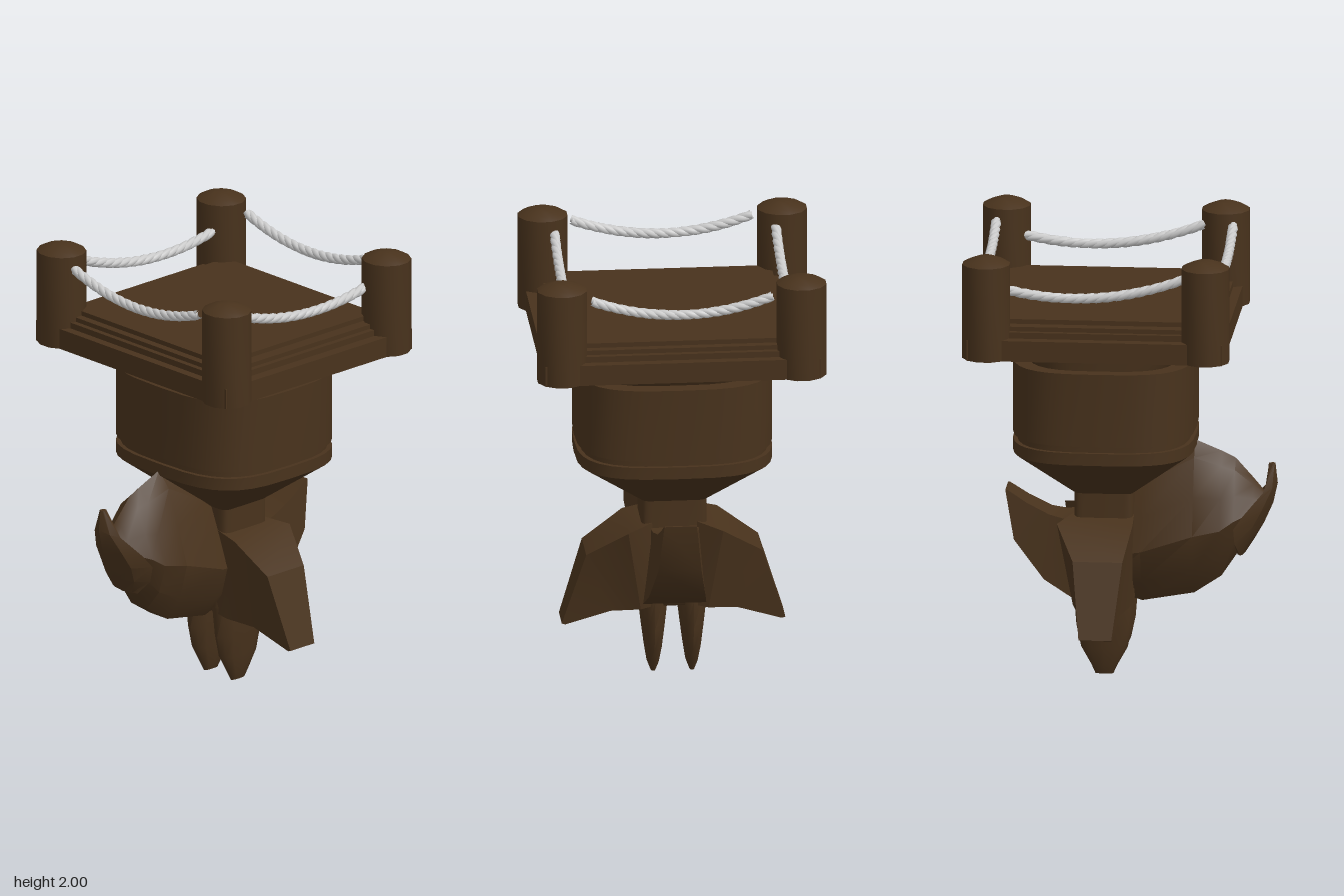
import * as THREE from 'three';
import { toCreasedNormals } from 'three/addons/utils/BufferGeometryUtils.js';

const CX = 0.085; // x of the tower axis
const brown = new THREE.MeshStandardMaterial({ color: 0x48321c, side: THREE.DoubleSide });
const grey = new THREE.MeshStandardMaterial({ color: 0xcccccc });

function add(parent, name, geometry, material = brown) {
  const mesh = new THREE.Mesh(geometry, material);
  mesh.name = name;
  parent.add(mesh);
  return mesh;
}

// Solid through closed rings of [x, y, z] points, capped at both ends, faces turned outward
function loft(rings, crease) {
  const n = rings[0].length, tris = [];
  for (let i = 0; i < rings.length - 1; i++) {
    for (let j = 0; j < n; j++) {
      const k = (j + 1) % n, a = rings[i], b = rings[i + 1];
      tris.push([a[j], a[k], b[j]], [a[k], b[k], b[j]]);
    }
  }
  const first = rings[0], last = rings[rings.length - 1];
  for (let j = 1; j < n - 1; j++) {
    tris.push([first[0], first[j + 1], first[j]], [last[0], last[j], last[j + 1]]);
  }
  let volume = 0;
  for (const t of tris) {
    const [a, b, c] = t.map(p => new THREE.Vector3(...p));
    volume += a.dot(b.cross(c));
  }
  if (volume < 0) tris.forEach(t => t.reverse());
  const g = new THREE.BufferGeometry();
  g.setAttribute('position', new THREE.Float32BufferAttribute(tris.flat(2), 3));
  return toCreasedNormals(g, crease);
}

// Horizontal superellipse ring: power 2 is round, higher is squarer
function ring([y, hx, hz, power], sides) {
  const bend = v => Math.sign(v) * Math.abs(v) ** (2 / power);
  return Array.from({ length: sides }, (_, i) => {
    const a = (i / sides) * Math.PI * 2;
    return [hx * bend(Math.cos(a)), y, hz * bend(Math.sin(a))];
  });
}
const column = (levels, sides, crease) => loft(levels.map(l => ring(l, sides)), crease);

// Rope of three twisted strands along a path function
function rope(parent, name, path) {
  const group = new THREE.Group();
  group.name = name;
  parent.add(group);
  for (let s = 0; s < 3; s++) {
    const points = [];
    for (let i = 0; i <= 90; i++) {
      const t = i / 90, a = t * Math.PI * 12 + (s * Math.PI * 2) / 3;
      const { pos, side } = path(t);
      points.push(pos.addScaledVector(side, 0.007 * Math.cos(a)).add(new THREE.Vector3(0, 0.007 * Math.sin(a), 0)));
    }
    add(group, 'strand', new THREE.TubeGeometry(new THREE.CatmullRomCurve3(points), 120, 0.016, 8), grey);
  }
}

export function createModel() {
  const model = new THREE.Group();

  // Stepped platform
  const platform = new THREE.Group();
  platform.name = 'platform';
  model.add(platform);
  const steps = [[0.565, 0.61, 1.542, 1.635], [0.525, 0.56, 1.635, 1.662],
    [0.5, 0.535, 1.662, 1.682], [0.465, 0.48, 1.682, 1.703]];
  for (const [hx, hz, y0, y1] of steps) {
    const step = add(platform, 'platformStep', new THREE.BoxGeometry(hx * 2, y1 - y0, hz * 2));
    step.position.set(CX, (y0 + y1) / 2, 0);
  }

  // Corner posts with low domed tops
  const postProfile = [[0, 1.542], [0.112, 1.542], [0.112, 1.967], [0.085, 1.982], [0.035, 2], [0, 2]];
  const post = new THREE.LatheGeometry(postProfile.map(p => new THREE.Vector2(...p)), 12, Math.PI / 12);
  post.scale(0.96, 1, 1);
  const postGeometry = toCreasedNormals(post, 0.65);
  for (const x of [-0.4, 0.57]) {
    for (const z of [-0.53, 0.53]) add(model, 'cornerPost', postGeometry).position.set(x, 0, z);
  }

  // Hanging ropes
  for (const z of [-0.495, 0.485]) {
    rope(model, 'crossRope', t => {
      const x = -0.31 + 0.87 * t;
      return { pos: new THREE.Vector3(x, 1.806 + 0.4 * (x - 0.19) ** 2, z), side: new THREE.Vector3(0, 0, 1) };
    });
  }
  for (const x of [-0.443, 0.605]) {
    rope(model, 'sideRope', t => {
      const z = -0.4 + 0.8 * t;
      return { pos: new THREE.Vector3(x, 1.845 + 0.47 * z * z, z), side: new THREE.Vector3(1, 0, 0) };
    });
  }

  // Rounded-square drum with groove, flared lip, funnel and square neck
  const drum = [[0.7, 0.132, 0.145, 9], [0.83, 0.132, 0.145, 9], [1.03, 0.403, 0.436, 3.2],
    [1.085, 0.403, 0.436, 3.2], [1.085, 0.385, 0.417, 3.2], [1.115, 0.385, 0.417, 3.2],
    [1.115, 0.403, 0.436, 3.2], [1.445, 0.403, 0.436, 3.2], [1.445, 0.335, 0.375, 3.2], [1.505, 0.37, 0.377, 3.2]];
  add(model, 'drum', column(drum, 32, 0.6)).position.x = CX;

  // Core of the lower body
  const core = [[0.33, 0.11, 0.12, 3], [0.36, 0.132, 0.14, 4], [0.55, 0.132, 0.145, 5], [0.76, 0.13, 0.143, 8]];
  add(model, 'core', column(core, 24, 0.8)).position.x = CX;

  // Two pointed legs
  const leg = [[0, 0.04, 0.012, 2.5], [0.04, 0.058, 0.027, 2.5], [0.12, 0.103, 0.04, 2.5],
    [0.22, 0.124, 0.053, 2.3], [0.36, 0.135, 0.07, 2.2], [0.45, 0.125, 0.06, 2.2]];
  for (const z of [-0.086, 0.086]) {
    add(model, 'leg', column(leg, 12, 0.9)).position.set(CX, 0, z);
  }

  // Drooping side fins; stations of [z, y, x0, x1] for the outer and the inner edge
  const sideFin = [
    [[0.1, 0.73, -0.048, 0.22], [0.06, 0.34, -0.045, 0.2]],
    [[0.21, 0.705, -0.05, 0.285], [0.15, 0.325, -0.04, 0.22]],
    [[0.39, 0.58, -0.02, 0.2], [0.28, 0.31, 0, 0.185]],
    [[0.495, 0.25, 0.02, 0.165], [0.48, 0.245, 0.02, 0.165]],
  ];
  for (const s of [-1, 1]) {
    const rings = sideFin.map(([o, i]) => [
      [o[2], o[1], o[0] * s], [o[3], o[1], o[0] * s], [i[3], i[1], i[0] * s], [i[2], i[1], i[0] * s]]);
    add(model, 'sideFin', loft(rings, 0.4));
  }

  // Upturned fin; stations of [x, y, half width] for the upper and the lower edge
  const tail = [
    [[0.08, 0.72, 0.13], [0.08, 0.36, 0.13]],
    [[0.26, 0.7, 0.1], [0.22, 0.35, 0.14]],
    [[0.33, 0.715, 0.085], [0.35, 0.43, 0.125]],
    [[0.43, 0.765, 0.08], [0.485, 0.6, 0.095]],
    [[0.515, 0.82, 0.072], [0.525, 0.82, 0.072]],
  ];
  add(model, 'upturnedFin', loft(tail.map(([u, l]) => [
    [u[0], u[1], -u[2]], [u[0], u[1], u[2]], [l[0], l[1], l[2]], [l[0], l[1], -l[2]]]), 0.5));

  // Bulging belly with a narrow keel; stations of [x, top, bottom, half width]
  const section = [[0, 1], [0.35, 0.9], [0.7, 0.66], [1, 0.42], [0.75, 0.18], [0.3, 0.01],
    [-0.3, 0.01], [-0.75, 0.18], [-1, 0.42], [-0.7, 0.66], [-0.35, 0.9]];
  const belly = [[-0.62, 0.82, 0.72, 0.06], [-0.57, 0.88, 0.65, 0.1], [-0.49, 0.97, 0.53, 0.15],
    [-0.43, 1, 0.44, 0.17], [-0.31, 1.05, 0.36, 0.18], [-0.08, 0.92, 0.32, 0.17], [0.06, 0.8, 0.36, 0.13]];
  add(model, 'belly', loft(belly.map(([x, top, bottom, w]) =>
    section.map(([a, b]) => [x, bottom + (top - bottom) * b, a * w])), 0.6));

  // Curved shield over the tip of the belly; rows of [ridge x, ridge y, edge x, edge y, edge z]
  const shield = [[-0.665, 0.95, -0.655, 0.95, 0.012], [-0.675, 0.86, -0.615, 0.83, 0.075],
    [-0.655, 0.77, -0.53, 0.735, 0.13], [-0.615, 0.68, -0.49, 0.68, 0.15],
    [-0.575, 0.61, -0.495, 0.61, 0.14], [-0.53, 0.54, -0.515, 0.545, 0.08]];
  add(model, 'tipShield', loft(shield.map(([rx, ry, ex, ey, ez]) => {
    const mx = rx * 0.65 + ex * 0.35, my = (ry + ey) / 2;
    return [[rx, ry, 0], [mx, my, ez * 0.65], [ex, ey, ez], [mx + 0.025, my, ez * 0.55],
      [rx + 0.03, ry, 0], [mx + 0.025, my, -ez * 0.55], [ex, ey, -ez], [mx, my, -ez * 0.65]];
  }), 0.6));

  return model;
}
